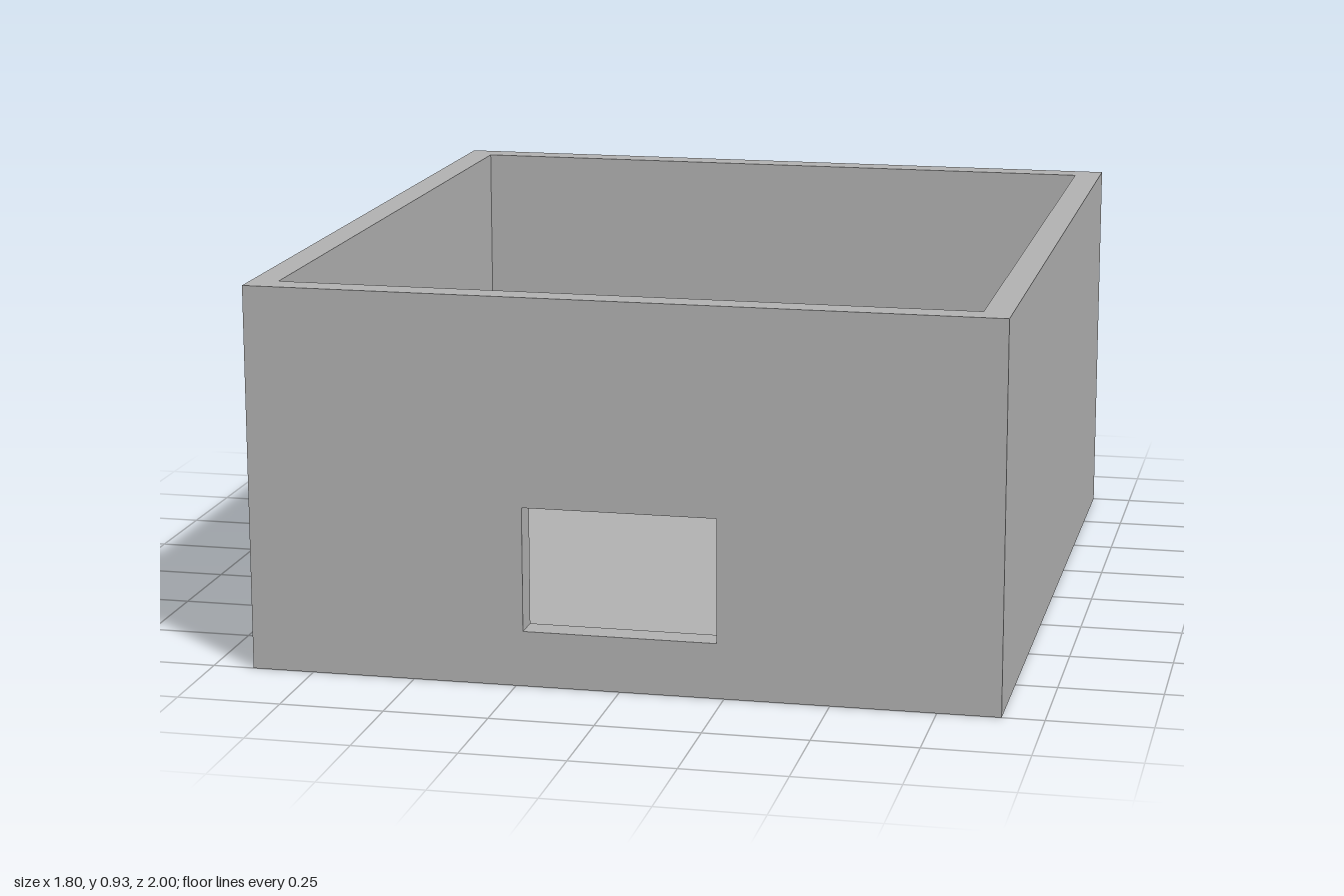
import * as THREE from 'three';

const W = 1.8, D = 2, H = 0.934, T = 0.067; // outer size and wall thickness
const WIN = { halfWidth: 0.232, bottom: 0.134, top: 0.434 };

function polygon(points, Type = THREE.Shape) {
  return new Type(points.map(([x, y]) => new THREE.Vector2(x, y)));
}

export function createModel() {
  const model = new THREE.Group();
  model.name = 'openBox';
  const grey = new THREE.MeshStandardMaterial({ color: 0xb2b2b2 });
  grey.name = 'grey';

  const add = (name, geometry, x, y, z) => {
    const mesh = new THREE.Mesh(geometry, grey);
    mesh.name = name;
    mesh.position.set(x, y, z);
    model.add(mesh);
  };

  // Floor slab under the whole footprint
  add('floor', new THREE.BoxGeometry(W, T, D), 0, T / 2, 0);

  // Side and back walls standing on the floor
  const wallH = H - T, sideD = D - T;
  for (const [name, s] of [['leftWall', 1], ['rightWall', -1]]) {
    add(name, new THREE.BoxGeometry(T, wallH, sideD), s * (W - T) / 2, T + wallH / 2, -T / 2);
  }
  add('backWall', new THREE.BoxGeometry(W - 2 * T, wallH, T), 0, T + wallH / 2, -(D - T) / 2);

  // Front wall with its rectangular opening
  const front = polygon([[-W / 2, T], [W / 2, T], [W / 2, H], [-W / 2, H]]);
  const { halfWidth: w, bottom, top } = WIN;
  front.holes.push(polygon([[-w, bottom], [-w, top], [w, top], [w, bottom]], THREE.Path));
  add('frontWall', new THREE.ExtrudeGeometry(front, { depth: T, bevelEnabled: false }), 0, 0, D / 2 - T);

  return model;
}
